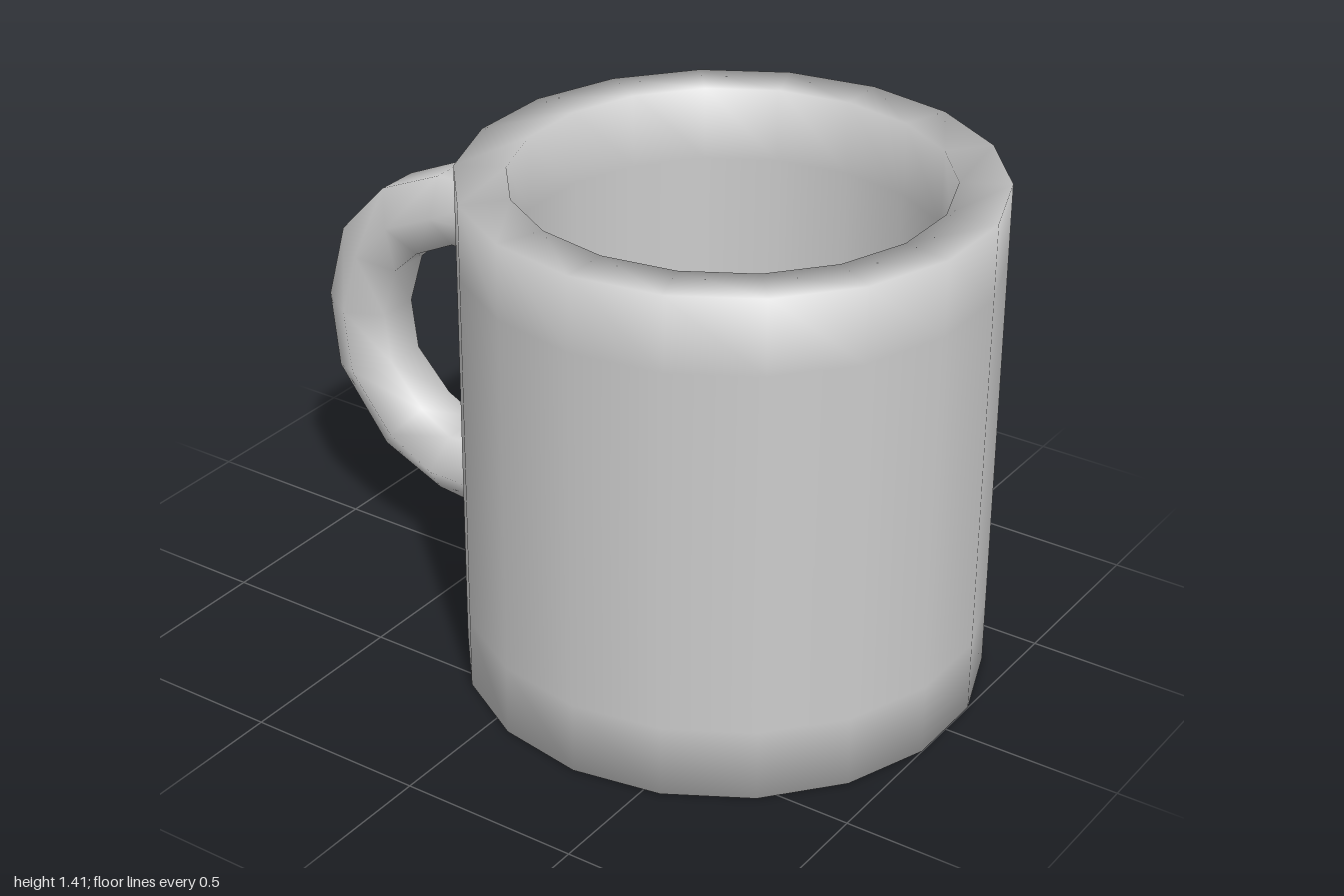
import * as THREE from 'three';

const SIDES = 18, OUTER = 0.707, INNER = 0.572, HEIGHT = 1.415, FLOOR = 0.14;
const material = new THREE.MeshStandardMaterial({ color: 0xcccccc });

function lathe(name, points, mat = material) {
  const profile = points.map(([r, y]) => new THREE.Vector2(r, y));
  const mesh = new THREE.Mesh(new THREE.LatheGeometry(profile, SIDES), mat);
  mesh.name = name;
  return mesh;
}

// Smooth tube of hexagonal sections, each spanning an outer and an inner edge point
function handleGeometry(sections, sides = 6) {
  const positions = [], index = [];
  sections.forEach(([ox, oy, ix, iy, halfWidth], s) => {
    const cx = (ox + ix) / 2, cy = (oy + iy) / 2;
    const k = 1 / Math.sin(Math.PI / 3); // flat faces touch the edge points
    for (let j = 0; j < sides; j++) {
      const a = (j / sides) * Math.PI * 2, out = Math.sin(a) * k;
      positions.push(cx + (ox - cx) * out, cy + (oy - cy) * out, Math.cos(a) * halfWidth);
      if (s === sections.length - 1) continue;
      const p = s * sides + j, q = s * sides + (j + 1) % sides;
      index.push(p, q, p + sides, q, q + sides, p + sides);
    }
  });
  const geometry = new THREE.BufferGeometry();
  geometry.setAttribute('position', new THREE.Float32BufferAttribute(positions, 3));
  geometry.setIndex(index);
  geometry.computeVertexNormals();
  return geometry;
}

export function createModel() {
  const group = new THREE.Group();
  group.name = 'mug';

  const body = new THREE.Group();
  body.name = 'body';
  body.position.x = 0.303;
  group.add(body);

  // Outer wall, rim and inner wall in one softly shaded profile
  body.add(lathe('wall', [
    [INNER, 0], [OUTER, 0], [OUTER, 0.2], [OUTER, 1.21], [OUTER, HEIGHT],
    [INNER, HEIGHT], [INNER, 1.21], [INNER, FLOOR],
  ]));

  // Flat floor inside
  body.add(lathe('floor', [[INNER, FLOOR], [0, FLOOR]]));

  // Shallow recess under the base
  const flat = material.clone();
  flat.flatShading = true;
  body.add(lathe('baseRecess', [[0, 0.03], [0.445, 0.03], [INNER, 0]], flat));

  // Handle: outer x, y, inner x, y, half width; the ends sit inside the wall
  const handle = new THREE.Mesh(handleGeometry([
    [-0.34, 1.215, -0.34, 1.015, 0.122],
    [-0.59, 1.21, -0.55, 1.015, 0.137],
    [-0.79, 1.12, -0.68, 0.95, 0.126],
    [-0.94, 0.96, -0.76, 0.875, 0.122],
    [-1.0, 0.74, -0.805, 0.725, 0.122],
    [-0.975, 0.52, -0.785, 0.58, 0.122],
    [-0.815, 0.315, -0.68, 0.465, 0.126],
    [-0.62, 0.235, -0.58, 0.41, 0.137],
    [-0.34, 0.2, -0.34, 0.405, 0.122],
  ]), material);
  handle.name = 'handle';
  group.add(handle);

  return group;
}
